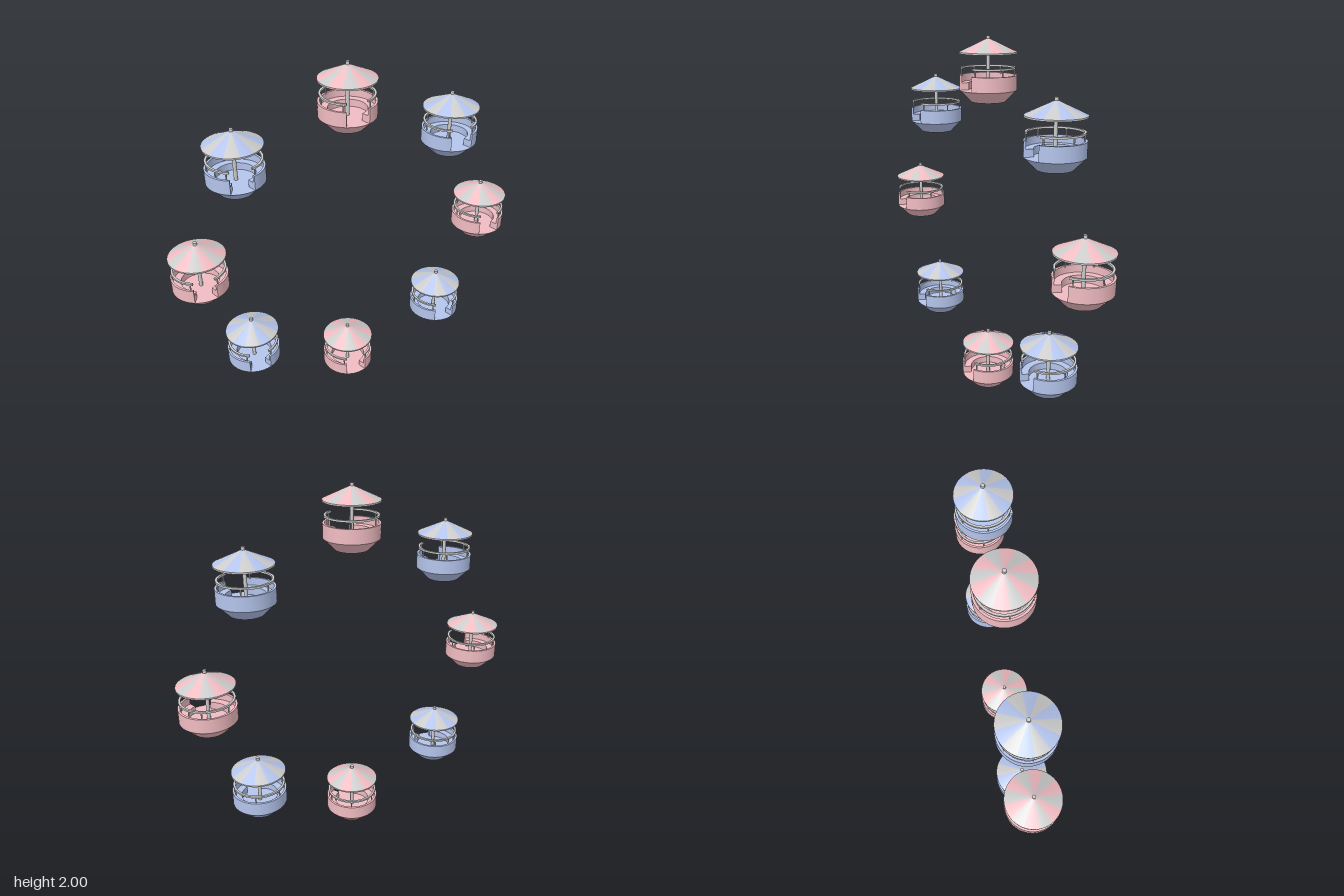
import * as THREE from 'three';
import { toCreasedNormals } from 'three/addons/utils/BufferGeometryUtils.js';

const GREY = new THREE.MeshStandardMaterial({ color: 0xcccccc });
const PINK = new THREE.MeshStandardMaterial({ color: 0xf0bcc2 });
const BLUE = new THREE.MeshStandardMaterial({ color: 0xb4c4ec });
const GAP = Math.asin(0.4); // half angle of the doorway, facing +z

// Ring with a doorway cut out of its front
function openRing(outer, inner, y, height) {
  const from = -Math.PI / 2 + GAP, to = Math.PI * 1.5 - GAP;
  const shape = new THREE.Shape();
  shape.absarc(0, 0, outer, from, to, false);
  shape.absarc(0, 0, inner, to, from, true);
  shape.closePath();
  const geo = new THREE.ExtrudeGeometry(shape, { depth: height, bevelEnabled: false, curveSegments: 40 });
  geo.rotateX(-Math.PI / 2).translate(0, y, 0);
  return toCreasedNormals(geo, 0.6);
}

function rod(radius, y0, y1) {
  return new THREE.CylinderGeometry(radius, radius, y1 - y0, 12).translate(0, (y0 + y1) / 2, 0);
}

function createGondola(paint) {
  const gondola = new THREE.Group();
  const add = (name, geo, mat) => {
    const mesh = new THREE.Mesh(geo, mat);
    mesh.name = name;
    gondola.add(mesh);
    return mesh;
  };

  // Tub: tapered base, wall and bench
  add('base', new THREE.CylinderGeometry(0.15, 0.09, 0.06, 48).translate(0, 0.03, 0), paint);
  add('wall', openRing(0.15, 0.138, 0.06, 0.077), paint);
  add('bench', openRing(0.139, 0.1, 0.06, 0.038), paint);

  // Handrail on six posts
  add('handrail', openRing(0.143, 0.131, 0.168, 0.01), GREY);
  for (let i = 0; i < 6; i++) {
    const a = Math.PI / 6 + i * Math.PI / 3;
    add('railPost', rod(0.004, 0.13, 0.17), GREY).position.set(Math.sin(a) * 0.138, 0, Math.cos(a) * 0.138);
  }

  // Centre pole
  add('pole', rod(0.01, 0.06, 0.335), GREY);

  // Canopy: striped cone, rim and flat underside
  const stripes = 12, step = Math.PI * 2 / stripes;
  for (let i = 0; i < stripes; i++) {
    const geo = new THREE.ConeGeometry(0.15, 0.07, 5, 1, true, i * step, step).translate(0, 0.289, 0);
    add('canopyStripe', geo, i % 2 ? GREY : paint);
  }
  add('canopyRim', new THREE.CylinderGeometry(0.15, 0.15, 0.008, 60, 1, true).translate(0, 0.25, 0), GREY);
  add('canopyUnderside', new THREE.CircleGeometry(0.15, 60).rotateX(Math.PI / 2).translate(0, 0.246, 0), GREY);
  return gondola;
}

export function createModel() {
  const model = new THREE.Group();
  model.name = 'wheelGondolas';

  // Eight upright gondolas around a vertical circle
  const radius = 0.8325;
  for (let i = 0; i < 8; i++) {
    const a = i * Math.PI / 4;
    const gondola = createGondola(i % 2 ? BLUE : PINK);
    gondola.name = 'gondola' + (i + 1);
    gondola.position.set(Math.sin(a) * radius, radius - Math.cos(a) * radius, 0);
    model.add(gondola);
  }
  return model;
}
